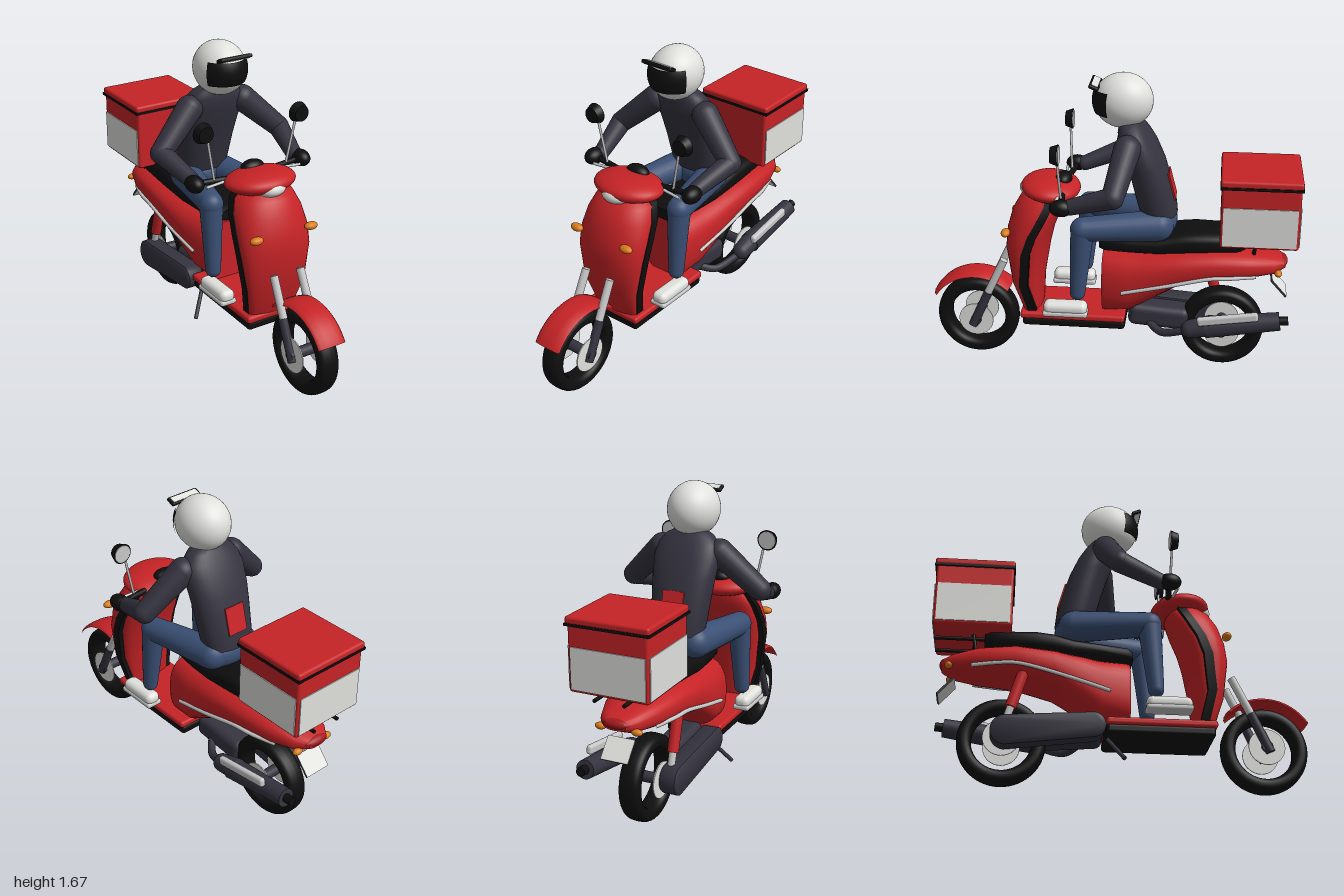
import * as THREE from 'three';
import { toCreasedNormals } from 'three/addons/utils/BufferGeometryUtils.js';
import { RoundedBoxGeometry } from 'three/addons/geometries/RoundedBoxGeometry.js';

const material = (name, color, side = THREE.FrontSide) => {
  const m = new THREE.MeshStandardMaterial({ color, side });
  m.name = name;
  return m;
};
const V = (p) => new THREE.Vector3(...p);

// Closed surface through rings of points, with fan caps; winding is fixed by signed volume
function loft(rings, crease = 0.75) {
  const n = rings[0].length, pos = rings.flat(2), idx = [];
  const tri = (a, b, c) => idx.push(a, b, c);
  for (let r = 0; r < rings.length - 1; r++) {
    for (let i = 0; i < n; i++) {
      const a = r * n + i, b = r * n + (i + 1) % n;
      tri(a, b, a + n);
      tri(b, b + n, a + n);
    }
  }
  const last = (rings.length - 1) * n;
  for (let i = 1; i < n - 1; i++) {
    tri(0, i + 1, i);
    tri(last, last + i, last + i + 1);
  }
  const p = (i) => new THREE.Vector3().fromArray(pos, i * 3);
  let volume = 0;
  for (let i = 0; i < idx.length; i += 3) volume += p(idx[i]).dot(p(idx[i + 1]).cross(p(idx[i + 2])));
  if (volume < 0) idx.reverse();
  const g = new THREE.BufferGeometry();
  g.setAttribute('position', new THREE.Float32BufferAttribute(pos, 3));
  g.setIndex(idx);
  return toCreasedNormals(g, crease);
}

// Superellipse outline, sampled as [u, v]
const outline = (hu, hv, p, n = 36) => Array.from({ length: n }, (_, i) => {
  const a = (i / n) * Math.PI * 2, c = Math.cos(a), s = Math.sin(a);
  return [hu * Math.sign(c) * Math.abs(c) ** (2 / p), hv * Math.sign(s) * Math.abs(s) ** (2 / p)];
});
const loftZ = (rows, p) => loft(rows.map(([z, cy, hx, hy]) => outline(hx, hy, p).map(([u, v]) => [u, cy + v, z])));
const loftY = (rows, p) => loft(rows.map(([y, cz, hx, hz]) => outline(hx, hz, p).map(([u, v]) => [u, y, cz + v])));

// Places a geometry built along +y so that it runs from a to b
function align(g, a, b) {
  const d = V(b).sub(V(a)).normalize();
  return g.applyQuaternion(new THREE.Quaternion().setFromUnitVectors(V([0, 1, 0]), d)).translate(...a);
}
function rod(a, b, ra, rb = ra, n = 20) {
  const L = V(a).distanceTo(V(b));
  return align(new THREE.CylinderGeometry(rb, ra, L, n).translate(0, L / 2, 0), a, b);
}
function limb(a, b, ra, rb) {
  const L = V(a).distanceTo(V(b)), pts = [];
  for (let i = 0; i <= 8; i++) pts.push(new THREE.Vector2(ra * Math.sin(i * Math.PI / 16), -ra * Math.cos(i * Math.PI / 16)));
  for (let i = 0; i <= 8; i++) pts.push(new THREE.Vector2(rb * Math.cos(i * Math.PI / 16), L + rb * Math.sin(i * Math.PI / 16)));
  return align(new THREE.LatheGeometry(pts, 24), a, b);
}
const ball = (rx, ry, rz) => new THREE.SphereGeometry(1, 36, 24).scale(rx, ry, rz);
const box = (w, h, d) => new THREE.BoxGeometry(w, h, d);

export function createModel() {
  const red = material('red paint', 0xc62326), black = material('black', 0x0e0e0e);
  const slate = material('slate', 0x34333f), denim = material('denim', 0x3a4f74);
  const white = material('white', 0xe0e0dd), silver = material('silver', 0xc8c8c8);
  const orange = material('orange', 0xdb7a18), lamp = material('tail lamp red', 0xa01a1c);
  const fenderRed = material('fender red', 0xc62326, THREE.DoubleSide);
  const model = new THREE.Group();
  const add = (name, geo, mat, pos = [0, 0, 0], rx = 0) => {
    const m = new THREE.Mesh(geo, mat);
    m.name = name;
    m.position.set(...pos);
    m.rotation.x = rx;
    model.add(m);
    return m;
  };

  // Wheels
  const tyre = Array.from({ length: 25 }, (_, i) => {
    const [c, s] = [Math.cos(i * Math.PI / 12), Math.sin(i * Math.PI / 12)];
    return new THREE.Vector2(0.1925 + 0.0385 * Math.sign(c) * Math.abs(c) ** 0.8, 0.058 * Math.sign(s) * Math.abs(s) ** 0.7);
  });
  for (const [side, z] of [['front', 0.768], ['rear', -0.61]]) {
    add(side + 'Tyre', new THREE.LatheGeometry(tyre, 56).rotateZ(Math.PI / 2), black, [0, 0.231, z]);
    for (const s of [-1, 1]) add(side + 'BrakeDisc', rod([s * 0.077, 0, 0], [s * 0.083, 0, 0], 0.097, 0.097, 36), white, [0, 0.231, z]);
    add(side + 'Axle', rod([-0.1, 0, 0], [0.1, 0, 0], 0.03), slate, [0, 0.231, z]);
  }

  // Front fender and fork
  const guard = [[0.262, -0.083], [0.277, -0.07], [0.283, -0.03], [0.283, 0.03], [0.277, 0.07], [0.262, 0.083]];
  add('frontFender', new THREE.LatheGeometry(guard.map((q) => new THREE.Vector2(...q)), 32, 0.57, 1.78).rotateZ(Math.PI / 2), fenderRed, [0, 0.23, 0.768]);
  for (const s of [-1, 1]) {
    add('forkTube', rod([s * 0.082, 0.61, 0.595], [s * 0.085, 0.39, 0.7], 0.022), silver);
    add('forkLeg', rod([s * 0.088, 0.41, 0.69], [s * 0.088, 0.2, 0.785], 0.025), slate);
  }

  // Leg shield: rows of y, half width, front z, rear z of shell, rear z of inner panel
  const shield = [[0.28, 0.125, 0.48, 0.44, 0.4], [0.35, 0.145, 0.505, 0.46, 0.39], [0.5, 0.178, 0.556, 0.495, 0.38],
    [0.7, 0.205, 0.585, 0.475, 0.345], [0.8, 0.207, 0.575, 0.44, 0.32], [0.9, 0.193, 0.545, 0.385, 0.28],
    [0.97, 0.165, 0.505, 0.35, 0.255], [1.02, 0.11, 0.45, 0.345, 0.26]];
  const half = (y, hx, z0, z1) => Array.from({ length: 25 }, (_, i) => {
    const a = (i / 24) * Math.PI;
    return [hx * Math.cos(a), y, z0 + (z1 - z0) * Math.sin(a) ** 0.85];
  });
  const slab = (y, hx, z0, z1) => [[hx, y, z0], [hx, y, z1], [-hx, y, z1], [-hx, y, z0]];
  add('legShield', loft(shield.map(([y, w, f, b]) => half(y, w, b, f))), red);
  add('shieldTrim', loft(shield.map(([y, w, , b]) => slab(y, w + 0.003, b - 0.045, b + 0.003))), black);
  add('innerPanel', loft(shield.map(([y, w, , b, i]) => half(y, w * 0.88, b - 0.03, i))), red);

  // Footboard
  add('footboard', new RoundedBoxGeometry(0.34, 0.04, 0.58, 3, 0.015), red, [0, 0.317, 0.21]);
  add('underTray', new RoundedBoxGeometry(0.32, 0.055, 0.57, 3, 0.02), black, [0, 0.277, 0.205]);

  // Rear body, seat and side trim
  add('rearBody', loftZ([[0.05, 0.5, 0.145, 0.178], [0.03, 0.502, 0.155, 0.18], [-0.1, 0.51, 0.168, 0.176], [-0.2, 0.55, 0.18, 0.15],
    [-0.35, 0.61, 0.19, 0.11], [-0.55, 0.648, 0.19, 0.088], [-0.75, 0.648, 0.16, 0.073], [-0.88, 0.641, 0.11, 0.05], [-0.94, 0.643, 0.06, 0.024]], 2.7), red);
  add('seat', loftZ([[0.07, 0.725, 0.07, 0.032], [0.04, 0.728, 0.095, 0.042], [-0.1, 0.733, 0.12, 0.046], [-0.25, 0.74, 0.135, 0.05],
    [-0.36, 0.76, 0.14, 0.062], [-0.45, 0.768, 0.14, 0.064], [-0.69, 0.772, 0.125, 0.055], [-0.72, 0.772, 0.1, 0.042]], 3), black);
  for (const s of [-1, 1]) {
    const path = [[0.164, 0.48, -0.06], [0.186, 0.545, -0.3], [0.187, 0.603, -0.54], [0.178, 0.605, -0.63], [0.135, 0.602, -0.78]];
    add('sideTrim', new THREE.TubeGeometry(new THREE.CatmullRomCurve3(path.map(([x, y, z]) => V([s * x, y, z]))), 32, 0.011, 8), silver);
  }

  // Handlebar cover, headlight, bars, levers and mirrors
  add('handlebarCover', ball(0.197, 0.064, 0.16), red, [0, 1.03, 0.335], -0.08);
  add('headlight', ball(0.09, 0.052, 0.09), white, [0, 1.022, 0.415]);
  add('dashboard', ball(0.068, 0.04, 0.045), black, [0, 1.075, 0.265]);
  for (const s of [-1, 1]) {
    add('handlebar', rod([s * 0.1, 1.035, 0.26], [s * 0.37, 1.04, 0.225], 0.016), black);
    add('brakeLever', rod([s * 0.18, 1.035, 0.275], [s * 0.29, 1.03, 0.285], 0.008), silver);
    add('mirrorStem', rod([s * 0.222, 1.04, 0.25], [s * 0.27, 1.29, 0.262], 0.007), silver);
    add('mirrorShell', rod([s * 0.29, 1.315, 0.25], [s * 0.29, 1.315, 0.29], 0.056, 0.042, 32), black);
    add('mirrorGlass', rod([s * 0.29, 1.315, 0.246], [s * 0.29, 1.315, 0.2505], 0.048, 0.048, 32), silver);
    add('frontIndicator', ball(0.038, 0.021, 0.025), orange, [s * 0.167, 0.815, 0.562]);
    add('rearIndicator', ball(0.03, 0.018, 0.02), orange, [s * 0.1, 0.612, -0.9]);
  }
  add('tailLight', ball(0.075, 0.027, 0.032), lamp, [0, 0.648, -0.92]);
  add('rearPlate', box(0.15, 0.125, 0.012), [slate, slate, slate, slate, white, white], [0, 0.507, -0.91], 0.72);

  // Engine, drive case, shock, stand and exhaust
  add('engineBlock', new RoundedBoxGeometry(0.15, 0.13, 0.34, 3, 0.04), slate, [0, 0.285, -0.26], -0.08);
  const caseParts = [[-0.15, 0.285, 0.068], [-0.59, 0.24, 0.08]];
  add('driveCase', loft([[-0.19, 0.82], [-0.18, 1], [-0.1, 1], [-0.09, 0.9]].map(([x, k]) => Array.from({ length: 32 }, (_, i) => {
    const a = ((i + 0.5) / 32) * Math.PI * 2, [z, y, r] = caseParts[Math.cos(a) > 0 ? 0 : 1];
    return [x, y + k * r * Math.sin(a), z + k * r * Math.cos(a)];
  }))), slate);
  add('shockSpring', rod([-0.125, 0.38, -0.57], [-0.125, 0.58, -0.51], 0.03), red);
  add('shockRod', rod([-0.125, 0.28, -0.6], [-0.125, 0.39, -0.567], 0.02), silver);
  add('sideStand', rod([-0.11, 0.23, -0.07], [-0.2, 0.1, 0.01], 0.011), slate);
  add('exhaustPipe', new THREE.TubeGeometry(new THREE.CatmullRomCurve3([[0.05, 0.26, -0.2], [0.12, 0.23, -0.28], [0.18, 0.28, -0.42]].map(V)), 20, 0.022, 10), slate);
  add('muffler', limb([0.185, 0.295, -0.44], [0.185, 0.32, -0.55], 0.05, 0.058), slate);
  add('mufflerBody', rod([0.185, 0.31, -0.52], [0.185, 0.368, -0.92], 0.06, 0.05, 28), slate);
  add('exhaustTip', rod([0.185, 0.368, -0.91], [0.185, 0.374, -0.965], 0.024), black);
  add('heatShield', new RoundedBoxGeometry(0.035, 0.05, 0.33, 3, 0.015), silver, [0.232, 0.39, -0.64], 0.15);

  // Cargo box on its rack
  for (const s of [-1, 1]) {
    add('rackBar', rod([s * 0.08, 0.775, -0.58], [s * 0.08, 0.775, -0.985], 0.01), black);
    add('rackStrut', rod([s * 0.08, 0.68, -0.76], [s * 0.08, 0.8, -0.78], 0.01), black);
    add('sidePanel', box(0.006, 0.215, 0.385), white, [s * 0.217, 0.923, -0.785]);
  }
  add('cargoBox', new RoundedBoxGeometry(0.43, 0.36, 0.41, 3, 0.015), red, [0, 0.98, -0.785]);
  add('rearPanel', box(0.4, 0.215, 0.006), white, [0, 0.923, -0.992]);
  add('lidSeal', box(0.452, 0.014, 0.426), black, [0, 1.14, -0.786]);
  add('cargoLid', new RoundedBoxGeometry(0.448, 0.04, 0.424, 3, 0.014), red, [0, 1.16, -0.786]);

  // Rider
  add('torso', loftY([[0.91, -0.25, 0.14, 0.1], [0.96, -0.24, 0.15, 0.105], [1.1, -0.205, 0.162, 0.105], [1.2, -0.175, 0.172, 0.105],
    [1.3, -0.135, 0.18, 0.1], [1.36, -0.112, 0.165, 0.085], [1.4, -0.1, 0.13, 0.068], [1.43, -0.09, 0.07, 0.05]], 2.3), slate);
  add('backPatch', box(0.12, 0.15, 0.008), red, [0, 1.07, -0.318], 0.26);
  add('hips', ball(0.17, 0.095, 0.1), denim, [0, 0.865, -0.25]);
  for (const s of [-1, 1]) {
    const shoulder = [s * 0.165, 1.315, -0.09], elbow = [s * 0.37, 1.125, -0.035], wrist = [s * 0.32, 1.045, 0.19];
    const hip = [s * 0.1, 0.865, -0.25], knee = [s * 0.178, 0.86, 0.145], ankle = [s * 0.185, 0.485, 0.175];
    add('upperArm', limb(shoulder, elbow, 0.072, 0.058), slate);
    add('forearm', limb(elbow, wrist, 0.057, 0.042), slate);
    add('glove', ball(0.046, 0.045, 0.062), black, [s * 0.33, 1.042, 0.235]);
    add('thigh', limb(hip, knee, 0.085, 0.066), denim);
    add('shin', limb(knee, ankle, 0.064, 0.042), denim);
    add('shoe', new RoundedBoxGeometry(0.088, 0.07, 0.24, 4, 0.032), white, [s * 0.2, 0.402, 0.24]);
    add('shoeSole', new RoundedBoxGeometry(0.096, 0.03, 0.245, 3, 0.013), silver, [s * 0.2, 0.372, 0.24]);
  }

  // Helmet with visor and raised peak
  add('helmet', ball(0.137, 0.145, 0.157), white, [0, 1.525, -0.055]);
  add('visor', new THREE.SphereGeometry(1.05, 32, 12, 0.5, Math.PI - 1, 1.14, 0.86).scale(0.137, 0.145, 0.157), black, [0, 1.525, -0.055]);
  add('peakFrame', new RoundedBoxGeometry(0.19, 0.02, 0.055, 2, 0.008), black, [0, 1.61, 0.092], -0.4);
  add('peakPanel', box(0.165, 0.024, 0.034), white, [0, 1.61, 0.092], -0.4);
  return model;
}
